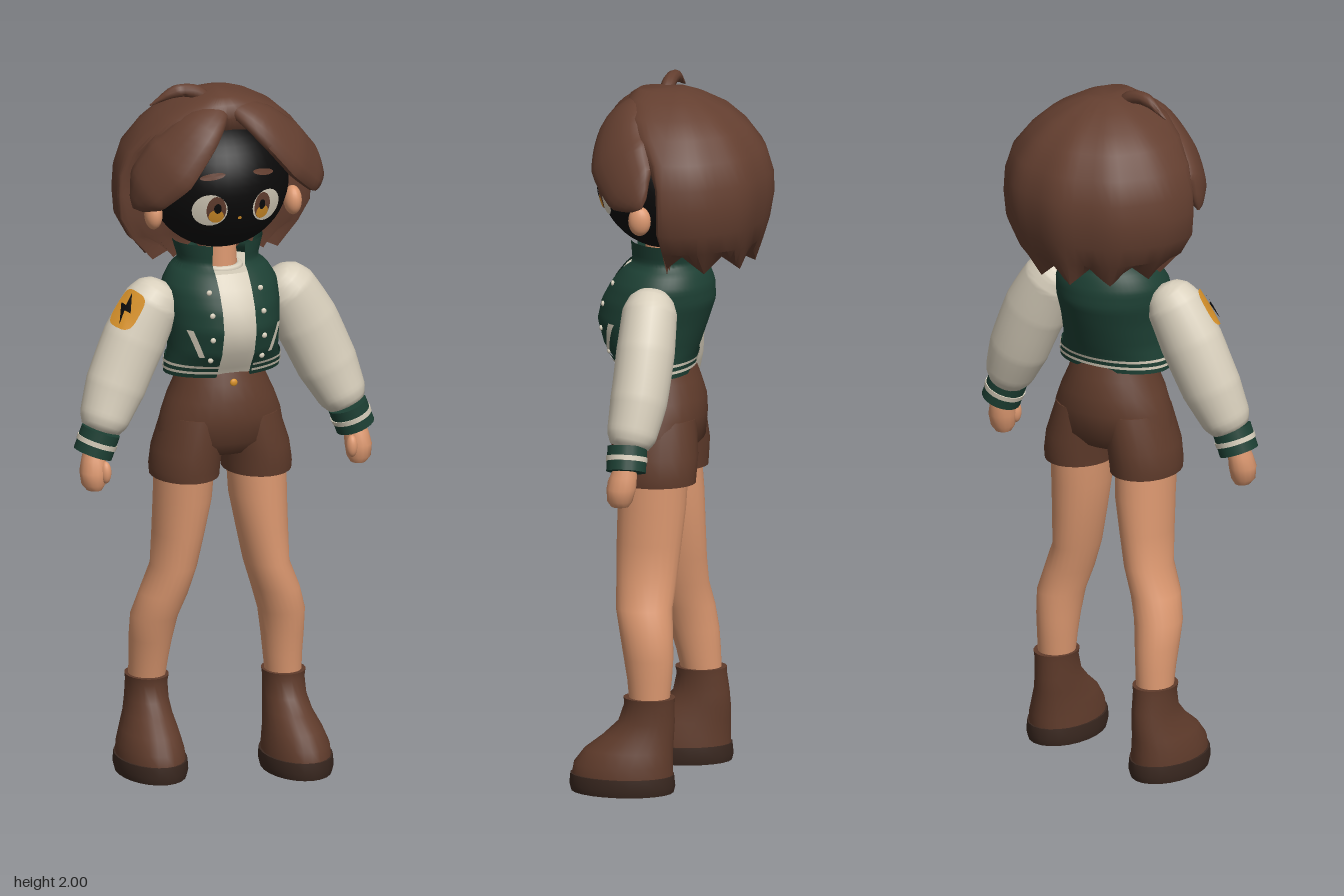
import * as THREE from 'three';
import { toCreasedNormals } from 'three/addons/utils/BufferGeometryUtils.js';

const mat = (name, color, side = THREE.FrontSide) => {
  const m = new THREE.MeshStandardMaterial({ color, side });
  m.name = name;
  return m;
};
const V = (x, y, z) => new THREE.Vector3(x, y, z);

// Linear lookup in rows whose first entry is the (rising) key.
function lookup(rows, k) {
  let i = 0;
  while (i < rows.length - 2 && k > rows[i + 1][0]) i++;
  const a = rows[i], b = rows[i + 1];
  const f = THREE.MathUtils.clamp((k - a[0]) / (b[0] - a[0]), 0, 1);
  return a.map((v, j) => v + (b[j] - v) * f);
}

// Grid surface from a point function; faces are turned outward from the centroid.
function surface(nu, nv, fn, crease = 0.9) {
  const pts = [], idx = [], c = V(0, 0, 0);
  for (let i = 0; i <= nu; i++) for (let j = 0; j <= nv; j++) pts.push(fn(i / nu, j / nv));
  pts.forEach(p => c.addScaledVector(p, 1 / pts.length));
  for (let i = 0; i < nu; i++) for (let j = 0; j < nv; j++) {
    const a = i * (nv + 1) + j, b = a + nv + 1;
    idx.push(a, b, a + 1, b, b + 1, a + 1);
  }
  let volume = 0;
  for (let i = 0; i < idx.length; i += 3) {
    const [p, q, r] = [0, 1, 2].map(k => pts[idx[i + k]].clone().sub(c));
    volume += p.dot(q.cross(r));
  }
  if (volume < 0) idx.reverse();
  const g = new THREE.BufferGeometry().setFromPoints(pts);
  g.setIndex(idx);
  return toCreasedNormals(g, crease);
}

// Closed loft through horizontal ellipses [y, cx, cz, rx, rz], capped at both ends.
function loft(rows, nv = 24, crease = 0.9) {
  const zero = r => [r[0], r[1], r[2], 0, 0];
  const all = [zero(rows[0]), ...rows, zero(rows[rows.length - 1])];
  return surface(all.length - 1, nv, (u, v) => {
    const [y, cx, cz, rx, rz] = all[Math.round(u * (all.length - 1))];
    return V(cx + rx * Math.sin(v * 2 * Math.PI), y, cz + rz * Math.cos(v * 2 * Math.PI));
  }, crease);
}

// Point on a tapered tube: radii [u, width, thickness], hint gives the thickness direction.
function sweep(points, radii, hint) {
  const curve = new THREE.CatmullRomCurve3(points);
  return (u, a, off = 0) => {
    const p = curve.getPoint(u), t = curve.getTangent(u);
    const w = t.clone().cross(hint(p)).normalize(), n = w.clone().cross(t);
    const [, rw, rt] = lookup(radii, u);
    return p.addScaledVector(w, (rw + off) * Math.cos(a)).addScaledVector(n, (rt + off) * Math.sin(a));
  };
}
const tube = (at, nu = 20, nv = 20) => surface(nu, nv, (u, v) => at(u, v * 2 * Math.PI));

// Moves the points of a flat geometry onto a surface.
function wrap(geo, fn) {
  const p = geo.attributes.position;
  for (let i = 0; i < p.count; i++) p.setXYZ(i, ...fn(p.getX(i), p.getY(i)).toArray());
  geo.computeVertexNormals();
  return geo;
}

export function createModel() {
  const D = THREE.DoubleSide;
  const M = {
    hair: mat('hair brown', 0x643f30, D), leather: mat('cloth brown', 0x5f3b2b),
    sole: mat('dark sole', 0x3a2820), skin: mat('skin', 0xdc9870),
    cream: mat('cream', 0xd8cfbc, D), green: mat('dark green', 0x1d4034, D),
    gold: mat('gold', 0xd8922a, D), black: mat('black', 0x0b0a0a, D),
  };
  const model = new THREE.Group();
  const add = (name, geo, m, pos = [0, 0, 0], scale = [1, 1, 1]) => {
    const mesh = new THREE.Mesh(geo, m);
    mesh.name = name;
    mesh.position.set(...pos);
    mesh.scale.set(...scale);
    model.add(mesh);
    return mesh;
  };
  const ball = () => new THREE.SphereGeometry(1, 20, 14);

  // Legs, boots and shorts legs; the right foot stands further back
  for (const s of [1, -1]) {
    const side = s > 0 ? 'left' : 'right';
    const place = rows => rows.map(([y, x, z, rx, rz]) =>
      [y, s * x, z - (s < 0 ? Math.min(0.1, (0.92 - y) * 0.13) : 0), rx, rz]);
    add(side + 'Leg', loft(place([
      [0.24, 0.188, 0.05, 0.05, 0.055], [0.32, 0.185, 0.05, 0.055, 0.063], [0.38, 0.183, 0.053, 0.06, 0.07],
      [0.45, 0.178, 0.06, 0.066, 0.075], [0.52, 0.157, 0.07, 0.067, 0.08], [0.6, 0.13, 0.067, 0.063, 0.086],
      [0.7, 0.119, 0.062, 0.072, 0.092], [0.8, 0.109, 0.056, 0.081, 0.097], [0.95, 0.105, 0.05, 0.085, 0.1]])), M.skin);
    add(side + 'Boot', loft(place([
      [0.045, 0.198, 0.125, 0.092, 0.143], [0.08, 0.198, 0.122, 0.089, 0.14], [0.12, 0.195, 0.107, 0.078, 0.125],
      [0.16, 0.19, 0.08, 0.066, 0.1], [0.2, 0.188, 0.058, 0.06, 0.08], [0.25, 0.188, 0.05, 0.058, 0.071],
      [0.27, 0.188, 0.05, 0.061, 0.073]])), M.leather);
    add(side + 'Sole', loft(place([
      [0, 0.198, 0.125, 0.094, 0.145], [0.02, 0.198, 0.125, 0.099, 0.15], [0.05, 0.198, 0.125, 0.097, 0.147]])), M.sole);
    add(side + 'ShortsLeg', loft([
      [0.872, s * 0.107, 0.05, 0.096, 0.118], [0.895, s * 0.107, 0.05, 0.098, 0.12],
      [0.95, s * 0.1, 0.05, 0.097, 0.124], [1.05, s * 0.075, 0.05, 0.09, 0.115]]), M.leather);
  }
  add('shorts', loft([
    [0.94, 0, 0.05, 0.11, 0.09], [0.98, 0, 0.05, 0.185, 0.125], [1.05, 0, 0.05, 0.172, 0.132],
    [1.1, 0, 0.05, 0.153, 0.13], [1.15, 0, 0.05, 0.13, 0.115], [1.19, 0, 0.05, 0.118, 0.1]], 28), M.leather);
  add('shortsButton', ball(), M.gold, [0, 1.157, 0.163], [0.011, 0.011, 0.006]);

  // Jacket shell, open at the front: [y, rx, cz, rz]
  const jacket = [[1.175, 0.163, 0.058, 0.1], [1.2, 0.163, 0.063, 0.108], [1.25, 0.158, 0.072, 0.135],
    [1.32, 0.16, 0.07, 0.157], [1.38, 0.165, 0.054, 0.16], [1.43, 0.163, 0.042, 0.145], [1.47, 0.14, 0.034, 0.122],
    [1.49, 0.113, 0.03, 0.1], [1.55, 0.13, 0.025, 0.108]];
  const onJacket = (y, a, off = 0) => {
    const [, rx, cz, rz] = lookup(jacket, y);
    return V((rx + off) * Math.sin(a), y, cz + (rz + off) * Math.cos(a));
  };
  const frontAngle = (y, x) => Math.asin(x / lookup(jacket, y)[1]);
  const band = (y0, y1, off, nu) => surface(nu, 48, (u, v) => {
    const y = y0 + (y1 - y0) * u, a = frontAngle(y, 0.048);
    return onJacket(y, a + v * 2 * (Math.PI - a), off);
  });
  add('jacket', band(1.175, 1.55, 0, 30), M.green);
  add('jacketHem', band(1.175, 1.225, 0.005, 2), M.green);
  for (const y of [1.188, 1.207]) add('hemStripe', band(y, y + 0.008, 0.008, 1), M.cream);
  add('shirt', loft(jacket.slice(0, 7).map(([y, rx, cz, rz]) => [y, 0, cz, rx - 0.012, rz - 0.01]), 28), M.cream);
  add('neck', new THREE.CylinderGeometry(0.045, 0.052, 0.14, 18), M.skin, [0, 1.5, 0.045]);
  add('shirtCollar', new THREE.TorusGeometry(0.054, 0.011, 8, 24).rotateX(Math.PI / 2), M.cream, [0, 1.47, 0.05]);
  for (const s of [1, -1]) {
    // Press studs and slanted pocket trim
    for (const y of [1.43, 1.37, 1.3, 1.235])
      add('jacketStud', ball(), M.cream, onJacket(y, s * frontAngle(y, 0.075), 0.002).toArray(), [0.008, 0.008, 0.005]);
    add('pocketTrim', surface(6, 2, (u, v) => {
      const y = 1.245 + 0.08 * u;
      return onJacket(y, s * frontAngle(y, 0.09 + 0.03 * u + 0.014 * v), 0.006);
    }), M.cream);
  }

  // Arms
  for (const s of [1, -1]) {
    const side = s > 0 ? 'left' : 'right';
    const sleeve = sweep(
      [V(s * 0.16, 1.435, 0.045), V(s * 0.2, 1.38, 0.047), V(s * 0.255, 1.28, 0.05), V(s * 0.315, 1.15, 0.06), V(s * 0.37, 1.025, 0.08)],
      [[0, 0, 0], [0.03, 0.04, 0.04], [0.12, 0.066, 0.063], [0.25, 0.082, 0.077], [0.5, 0.092, 0.082],
        [0.75, 0.087, 0.08], [0.93, 0.07, 0.07], [0.99, 0.052, 0.052], [1, 0, 0]], () => V(0, 0, 1));
    add(side + 'Sleeve', tube(sleeve, 48, 24), M.cream);
    const cuff = new THREE.Group();
    cuff.name = side + 'Cuff';
    cuff.position.set(s * 0.378, 1.0, 0.083);
    cuff.rotation.z = s * 0.36;
    [[0.056, 0.07, M.green], [0.059, 0.014, M.cream]].forEach(([r, h, m], i) => {
      const ring = new THREE.Mesh(new THREE.CylinderGeometry(r, r - i * 0.001, h, 22), m);
      ring.name = i ? 'cuffStripe' : 'cuffBand';
      cuff.add(ring);
    });
    model.add(cuff);
    add(side + 'Hand', loft([[0.868, s * 0.392, 0.1, 0.022, 0.025], [0.885, s * 0.394, 0.1, 0.034, 0.036],
      [0.92, s * 0.394, 0.096, 0.038, 0.042], [0.955, s * 0.39, 0.09, 0.034, 0.038], [0.985, s * 0.385, 0.085, 0.03, 0.03]], 16), M.skin);
    add(side + 'Thumb', ball(), M.skin, [s * 0.366, 0.92, 0.122], [0.016, 0.032, 0.018]);
    if (s < 0) {
      // Sleeve badge with a bolt
      const on = off => (x, y) => sleeve(0.35 - y * 0.12, 0.5 - x * 0.5, off);
      const pad = new THREE.CircleGeometry(1, 28);
      const soft = v => Math.sign(v) * Math.pow(Math.abs(v), 0.6);
      add('sleeveBadge', wrap(pad, (x, y) => on(0.007)(soft(x), soft(y))), M.gold);
      const bolt = new THREE.Shape([[0.15, 0.8], [-0.5, -0.1], [-0.05, -0.1], [-0.2, -0.8], [0.5, 0.15], [0.05, 0.15]]
        .map(p => new THREE.Vector2(...p)));
      add('badgeBolt', wrap(new THREE.ShapeGeometry(bolt), on(0.013)), M.black);
    }
  }

  // Head and face plates
  const [hy, hz, hx, hh, hd] = [1.72, 0.03, 0.2, 0.195, 0.19];
  add('head', new THREE.SphereGeometry(1, 36, 26), M.black, [0, hy, hz], [hx, hh, hd]);
  const plate = (name, cx, cy, rx, ry, m, off, tilt = 0) =>
    add(name, wrap(new THREE.CircleGeometry(1, 24), (x, y) => {
      const px = cx + rx * x, py = cy + ry * y + tilt * x;
      const k = 1 - (px / hx) ** 2 - ((py - hy) / hh) ** 2;
      return V(px, py, hz + hd * Math.sqrt(Math.max(k, 0)) + off);
    }), m);
  for (const s of [1, -1]) {
    plate('eyeWhite', s * 0.083, 1.68, 0.046, 0.048, M.cream, 0.004);
    plate('iris', s * 0.068, 1.683, 0.026, 0.04, M.hair, 0.006);
    plate('irisGlow', s * 0.068, 1.664, 0.02, 0.02, M.gold, 0.008);
    plate('pupil', s * 0.066, 1.688, 0.01, 0.015, M.black, 0.009);
    plate('eyebrow', s * 0.075, 1.778, 0.034, 0.009, M.hair, 0.004, -s * 0.006);
    add('ear', ball(), M.skin, [s * 0.207, 1.645, 0.075], [0.025, 0.042, 0.032]);
  }
  plate('nose', 0, 1.655, 0.006, 0.005, M.gold, 0.004);

  // Hair shell: [y, half width, back depth, front depth], jagged at the lower edge
  const shell = [[1.58, 0, 0, 0], [1.515, 0.19, 0.215, 0], [1.56, 0.25, 0.238, 0.01], [1.62, 0.283, 0.256, 0.03],
    [1.69, 0.288, 0.268, 0.03], [1.75, 0.284, 0.266, 0.035], [1.82, 0.262, 0.245, 0.07], [1.88, 0.215, 0.2, 0.125],
    [1.925, 0.165, 0.148, 0.145], [1.96, 0.1, 0.08, 0.135], [1.978, 0.05, 0.03, 0.11], [1.982, 0, 0, 0]];
  add('hairShell', surface(shell.length - 1, 64, (u, v) => {
    const row = Math.round(u * (shell.length - 1)), [y, w, b, f] = shell[row];
    const a = v * 2 * Math.PI, c = Math.cos(a);
    const lobe = 1 + 0.015 * Math.cos(a * 10) * (c < 0 ? -c : 0);
    const jag = row === 1 ? 0.026 * (Math.abs((v * 64) % 6 - 3) / 1.5 - 1) : 0;
    return V(w * Math.sin(a) * lobe, y + jag, c > 0 ? f * Math.sqrt(c) : b * c * lobe);
  }, 0.7), M.hair);

  // Swept fringe locks, one to each side of the parting
  const outward = p => p.clone().sub(V(0, 1.7, 0)).normalize();
  const lockRadii = [[0, 0.005, 0.005], [0.08, 0.035, 0.022], [0.3, 0.075, 0.032], [0.55, 0.1, 0.036],
    [0.8, 0.082, 0.03], [0.95, 0.035, 0.015], [1, 0.003, 0.003]];
  const fringe = {
    leftFringe: [V(-0.01, 1.965, 0.07), V(0.08, 1.915, 0.135), V(0.17, 1.83, 0.14), V(0.245, 1.755, 0.1), V(0.3, 1.705, 0.055)],
    rightFringe: [V(0.01, 1.965, 0.07), V(-0.08, 1.91, 0.135), V(-0.165, 1.82, 0.14), V(-0.225, 1.745, 0.11), V(-0.265, 1.67, 0.07)],
  };
  for (const [name, pts] of Object.entries(fringe)) add(name, tube(sweep(pts, lockRadii, outward), 22, 16), M.hair);

  // Stray curl on the crown
  add('hairCurl', tube(sweep(
    [V(-0.025, 1.93, 0.04), V(-0.06, 1.975, 0.037), V(-0.12, 1.984, 0.028), V(-0.195, 1.945, 0.012)],
    [[0, 0.02, 0.02], [0.4, 0.02, 0.02], [0.7, 0.018, 0.018], [1, 0.002, 0.002]], () => V(0, 0, 1)), 16, 10), M.hair);

  return model;
}
